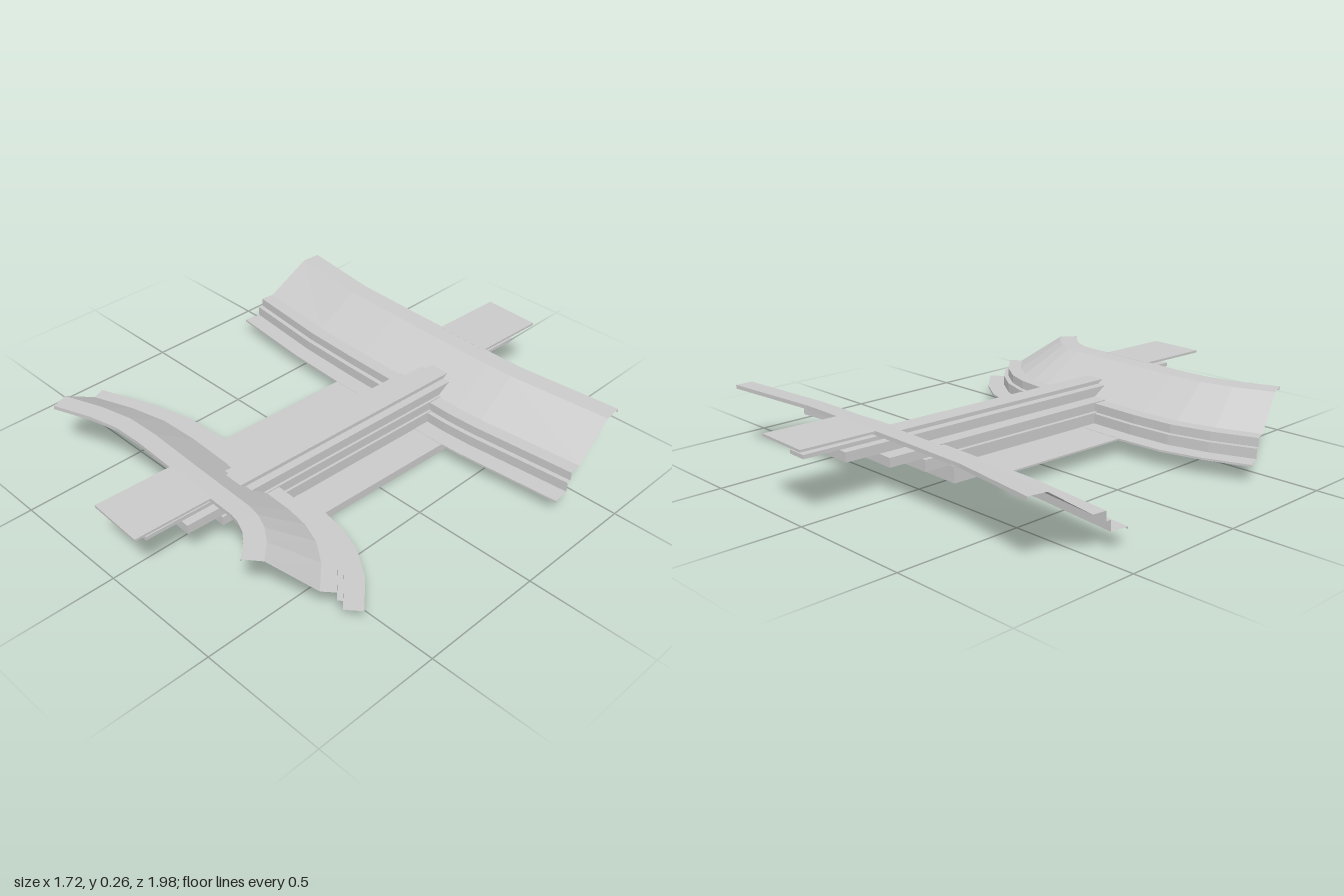
import * as THREE from 'three';

const concrete = new THREE.MeshStandardMaterial({ color: 0xcacaca, flatShading: true, side: THREE.DoubleSide });
concrete.name = 'concrete grey';

// bank section: distance from inner edge to outer edge (0..1), height
const PROFILE = [
  [0, 0.064], [0, 0.072], [0.178, 0.072], [0.178, 0.112], [0.228, 0.112],
  [0.228, 0.147], [0.367, 0.147], [0.81, 0.262], [1, 0.265], [1, 0.25],
];

// each station: inner x, inner z, outer x, outer z
const FRONT = [
  [-0.795, 0.39, -0.655, 0.755], [-0.62, 0.325, -0.505, 0.70], [-0.45, 0.285, -0.385, 0.672],
  [-0.26, 0.278, -0.26, 0.668], [0, 0.288, -0.01, 0.68], [0.3, 0.302, 0.27, 0.69],
  [0.42, 0.32, 0.31, 0.698], [0.53, 0.36, 0.36, 0.72], [0.64, 0.435, 0.405, 0.755],
  [0.755, 0.555, 0.455, 0.81],
];
const BACK = [
  [0.855, -0.33, 0.82, -0.72], [0.42, -0.295, 0.4, -0.685], [0.3, -0.291, 0.29, -0.685],
  [-0.24, -0.31, -0.2, -0.70], [-0.5, -0.325, -0.46, -0.71], [-0.86, -0.365, -0.81, -0.76],
];

// thin stepped and sloping sheet swept along the stations
function bank(name, stations) {
  const pos = [], idx = [], n = PROFILE.length;
  for (const [ix, iz, ox, oz] of stations)
    for (const [t, y] of PROFILE) pos.push(ix + (ox - ix) * t, y, iz + (oz - iz) * t);
  for (let i = 0; i < stations.length - 1; i++)
    for (let j = 0; j < n - 1; j++) {
      const a = i * n + j, b = a + 1, c = a + n, d = c + 1;
      idx.push(a, b, d, a, d, c);
    }
  const g = new THREE.BufferGeometry();
  g.setAttribute('position', new THREE.Float32BufferAttribute(pos, 3));
  g.setIndex(idx);
  g.computeVertexNormals();
  const mesh = new THREE.Mesh(g, concrete);
  mesh.name = name;
  return mesh;
}

// box given by its limits
function box(name, x0, x1, y0, y1, z0, z1) {
  const mesh = new THREE.Mesh(new THREE.BoxGeometry(x1 - x0, y1 - y0, z1 - z0), concrete);
  mesh.position.set((x0 + x1) / 2, (y0 + y1) / 2, (z0 + z1) / 2);
  mesh.name = name;
  return mesh;
}

export function createModel() {
  const model = new THREE.Group();
  model.name = 'embankmentCrossing';
  model.add(bank('frontBank', FRONT), bank('backBank', BACK));

  // everything crossing between the banks is turned slightly
  const crossing = new THREE.Group();
  crossing.name = 'crossing';
  crossing.rotation.y = -0.042;
  model.add(crossing);

  crossing.add(
    box('floor', -0.247, 0.333, 0.064, 0.071, -0.33, 0.31),
    box('upperFoundation', -0.062, 0.265, 0.035, 0.066, -0.37, 0.37),
    box('lowerFoundation', -0.062, 0.3, 0, 0.035, -0.37, 0.37),
    box('backLanding', -0.045, 0.187, 0.256, 0.265, -0.99, -0.685),
    box('frontLanding', -0.04, 0.19, 0.256, 0.265, 0.67, 0.985),
  );

  // stepped ridge, each higher layer narrower and longer
  const layers = [
    [-0.05, 0.195, 0.07, 0.115, 0.49],
    [-0.033, 0.185, 0.115, 0.151, 0.63],
    [0.027, 0.175, 0.151, 0.188, 0.77],
    [0.062, 0.143, 0.188, 0.203, 0.915],
  ];
  layers.forEach(([x0, x1, y0, y1, z], i) =>
    crossing.add(box('ridgeLayer' + (i + 1), x0, x1, y0, y1, -z, z)));

  return model;
}
